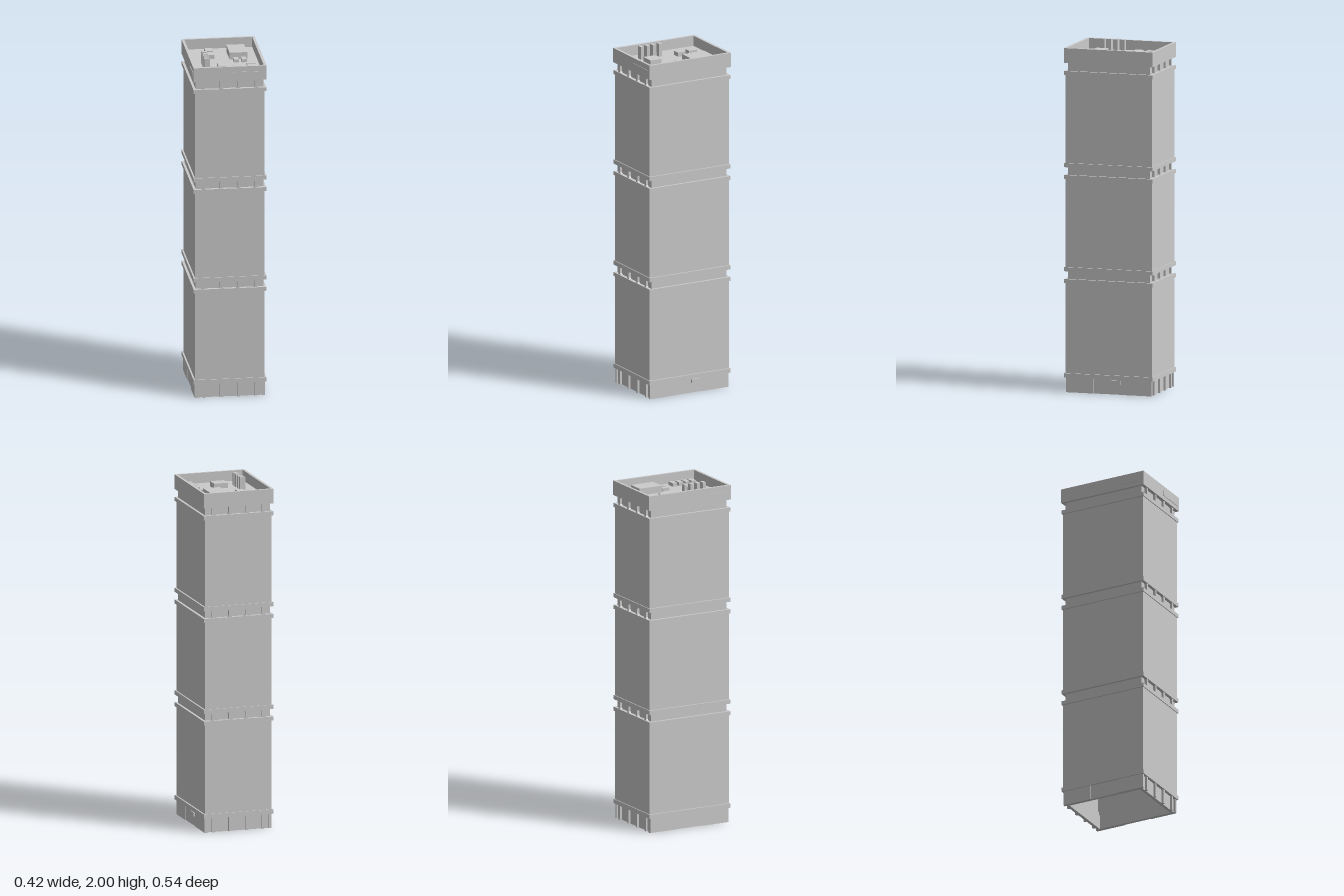
import * as THREE from 'three';

const material = new THREE.MeshStandardMaterial({ color: 0xcccccc, flatShading: true, side: THREE.DoubleSide });

export function createModel() {
  const tower = new THREE.Group();
  tower.name = 'officeTower';

  const add = (name, geometry, x = 0, y = 0, z = 0) => {
    const mesh = new THREE.Mesh(geometry, material);
    mesh.name = name;
    mesh.position.set(x, y, z);
    tower.add(mesh);
    return mesh;
  };

  // Box given by its limits on each axis
  const box = (name, x0, x1, y0, y1, z0, z1) =>
    add(name, new THREE.BoxGeometry(x1 - x0, y1 - y0, z1 - z0), (x0 + x1) / 2, (y0 + y1) / 2, (z0 + z1) / 2);

  // Box centred on the tower axis, with half width and half depth
  const block = (name, hx, hz, y0, y1) => box(name, -hx, hx, y0, y1, -hz, hz);

  // Rectangular ring with a wall thickness
  const ring = (name, hx, hz, y0, y1, wall) => {
    const rect = (Type, a, b) => {
      const p = new Type();
      p.moveTo(-a, -b).lineTo(a, -b).lineTo(a, b).lineTo(-a, b).closePath();
      return p;
    };
    const shape = rect(THREE.Shape, hx, hz);
    shape.holes.push(rect(THREE.Path, hx - wall, hz - wall));
    const g = new THREE.ExtrudeGeometry(shape, { depth: y1 - y0, bevelEnabled: false });
    g.rotateX(-Math.PI / 2);
    return add(name, g, 0, y0, 0);
  };

  // Mullion that flares where it meets the slabs
  const mullion = (name, x, y0, y1, side, flare) => {
    const w = 0.007, f = w + flare, h = y1 - y0;
    const s = new THREE.Shape();
    s.moveTo(-f, 0).lineTo(f, 0).lineTo(w, flare).lineTo(w, h - flare).lineTo(f, h)
      .lineTo(-f, h).lineTo(-w, h - flare).lineTo(-w, flare).closePath();
    const g = new THREE.ExtrudeGeometry(s, { depth: 0.02, bevelEnabled: false });
    add(name, g, x, y0, side > 0 ? 0.24 : -0.26);
  };
  const mullionX = [-0.15, -0.05, 0.05, 0.15];

  // Hollow ground floor, open underneath
  ring('groundFloorWall', 0.198, 0.247, 0, 0.085, 0.018);
  for (const side of [1, -1]) {
    for (const x of mullionX) mullion('groundFloorPier', x, 0, 0.085, side, 0);
    for (const s of [1, -1]) {
      box('cornerPier', s * 0.193 - 0.007, s * 0.193 + 0.007, 0, 0.085, side * 0.25 - 0.008, side * 0.25 + 0.008);
    }
  }
  // Side walls, leaving a shallow entrance bay
  for (const s of [1, -1]) {
    for (const [z0, z1] of [[0.09, 0.255], [-0.255, -0.08]]) {
      box('sideWallPanel', s * 0.199 - 0.003, s * 0.199 + 0.003, 0, 0.085, z0, z1);
    }
  }
  box('entranceCanopy', 0.195, 0.207, 0.057, 0.08, -0.07, -0.013);

  // Three tall shafts with projecting slabs and window strips between
  ring('baseSlab', 0.209, 0.265, 0.085, 0.11, 0.029);
  for (const [y0, y1] of [[0.11, 0.63], [0.72, 1.23], [1.32, 1.83]]) {
    if (y0 < 0.2) ring('shaft', 0.2, 0.26, y0, y1, 0.02);
    else block('shaft', 0.2, 0.26, y0, y1);
    block('lowerSlab', 0.209, 0.265, y1, y1 + 0.023);
    const top = y1 > 1.5 ? 1.902 : y1 + 0.068;
    block('windowStrip', 0.195, 0.246, y1 + 0.023, top);
    for (const side of [1, -1]) {
      for (const x of mullionX) mullion('windowMullion', x, y1 + 0.023, top, side, 0.007);
    }
    if (y1 < 1.5) block('upperSlab', 0.209, 0.265, top, y1 + 0.092);
  }

  // Roof deck and parapet
  block('roofDeck', 0.2, 0.26, 1.9, 1.925);
  ring('parapet', 0.21, 0.267, 1.9, 1.985, 0.015);

  // Blank sign plates on the parapet
  box('frontSignPlate', 0.02, 0.195, 1.925, 1.953, 0.265, 0.27);
  box('sideSignPlate', -0.213, -0.209, 1.925, 1.953, 0.13, 0.235);

  // Roof equipment
  const deck = 1.92;
  box('plantRoom', 0.038, 0.14, deck, 1.965, -0.19, -0.045);
  box('liftHousing', -0.052, 0.031, deck, 1.955, 0.087, 0.158);
  for (const z of [-0.163, -0.09]) box('coolingUnit', -0.089, -0.045, deck, 1.95, z - 0.025, z + 0.025);
  for (const x of [0.07, 0.115]) box('smallVent', x - 0.014, x + 0.014, deck, 1.943, -0.032, 0.016);
  for (let i = 0; i < 4; i++) {
    const z = 0.018 + i * 0.04;
    box('exhaustStack', -0.132, -0.1, deck, 2, z - 0.01, z + 0.01);
    const v = 0.087 + i * 0.0405;
    box('airHandler', 0.119, 0.168, deck, 1.945, v - 0.014, v + 0.014);
  }
  return tower;
}
